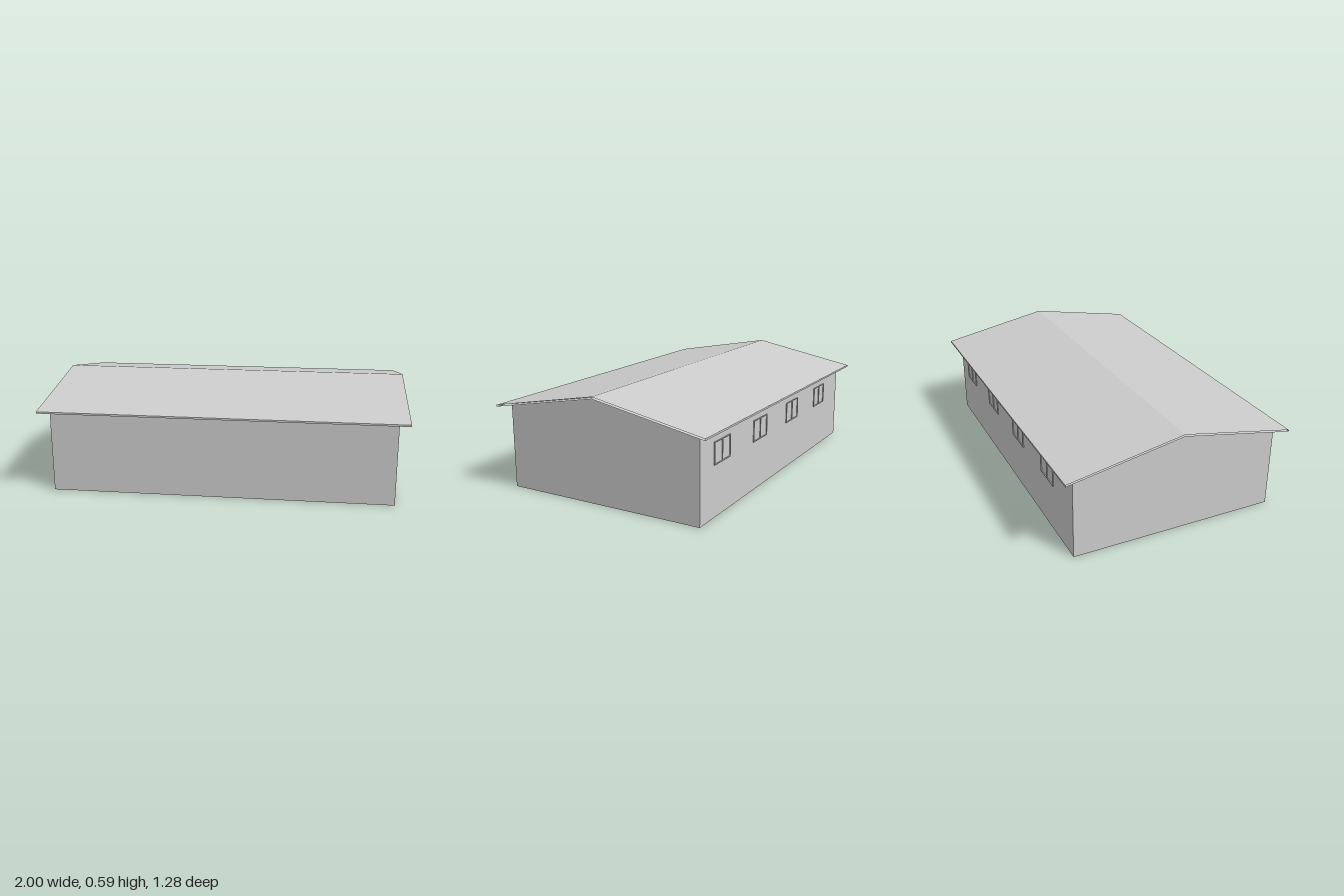
import * as THREE from 'three';

export function createModel() {
  const group = new THREE.Group();
  const grey = new THREE.MeshStandardMaterial({ color: 0xcccccc, side: THREE.DoubleSide, flatShading: true });
  grey.name = 'plain grey';

  const add = (name, geometry, x = 0, y = 0, z = 0, parent = group) => {
    const mesh = new THREE.Mesh(geometry, grey);
    mesh.name = name;
    mesh.position.set(x, y, z);
    parent.add(mesh);
    return mesh;
  };

  const wallX = 0.945, wallZ = 0.582, eaveY = 0.478, ridgeY = 0.588;
  const wallTop = 0.468; // long walls stop at the roof's underside

  // Long walls, open at the bottom
  for (const side of [1, -1]) {
    const wall = add(side > 0 ? 'frontWall' : 'backWall', new THREE.PlaneGeometry(2 * wallX, wallTop), 0, wallTop / 2, side * wallZ);
    if (side < 0) wall.rotation.y = Math.PI;
  }

  // Gable walls with a low peak
  const gable = new THREE.Shape([
    new THREE.Vector2(-wallZ, 0), new THREE.Vector2(wallZ, 0),
    new THREE.Vector2(wallZ, eaveY), new THREE.Vector2(0, ridgeY), new THREE.Vector2(-wallZ, eaveY),
  ]);
  for (const side of [1, -1]) {
    const wall = add(side > 0 ? 'leftGable' : 'rightGable', new THREE.ShapeGeometry(gable), side * wallX);
    wall.rotation.y = side * Math.PI / 2;
  }

  // Raised floor between the walls
  const floor = add('floor', new THREE.PlaneGeometry(2 * wallX, 2 * wallZ), 0, 0.19, 0);
  floor.rotation.x = Math.PI / 2;

  // Thin roof shell with open ends: closed [z, y] section swept along x
  const section = [[0.64, 0.47], [0, 0.59], [-0.64, 0.47], [-0.64, 0.46], [0, 0.579], [0.64, 0.46]];
  const points = [], index = [];
  section.forEach(([z, y], i) => {
    const a = 2 * i, b = 2 * ((i + 1) % section.length);
    points.push(-1, y, z, 1, y, z);
    index.push(a, a + 1, b + 1, a, b + 1, b);
  });
  const indexed = new THREE.BufferGeometry();
  indexed.setAttribute('position', new THREE.Float32BufferAttribute(points, 3));
  indexed.setIndex(index);
  const roof = indexed.toNonIndexed();
  roof.computeVertexNormals();
  add('roof', roof);

  // Four window frames with a central mullion on the back wall
  const w = 0.17, h = 0.12, bar = 0.005, depth = 0.005;
  for (const x of [0.72, 0.275, -0.17, -0.613]) {
    const frame = new THREE.Group();
    frame.name = 'windowFrame';
    frame.position.set(x, 0.335, -wallZ - depth / 2);
    group.add(frame);
    for (const s of [-1, 0, 1])
      add(s ? 'windowJamb' : 'windowMullion', new THREE.BoxGeometry(bar, h, depth), s * (w - bar) / 2, 0, 0, frame);
    for (const s of [-1, 1])
      add('windowRail', new THREE.BoxGeometry(w, bar, depth), 0, s * (h - bar) / 2, 0, frame);
  }

  return group;
}
